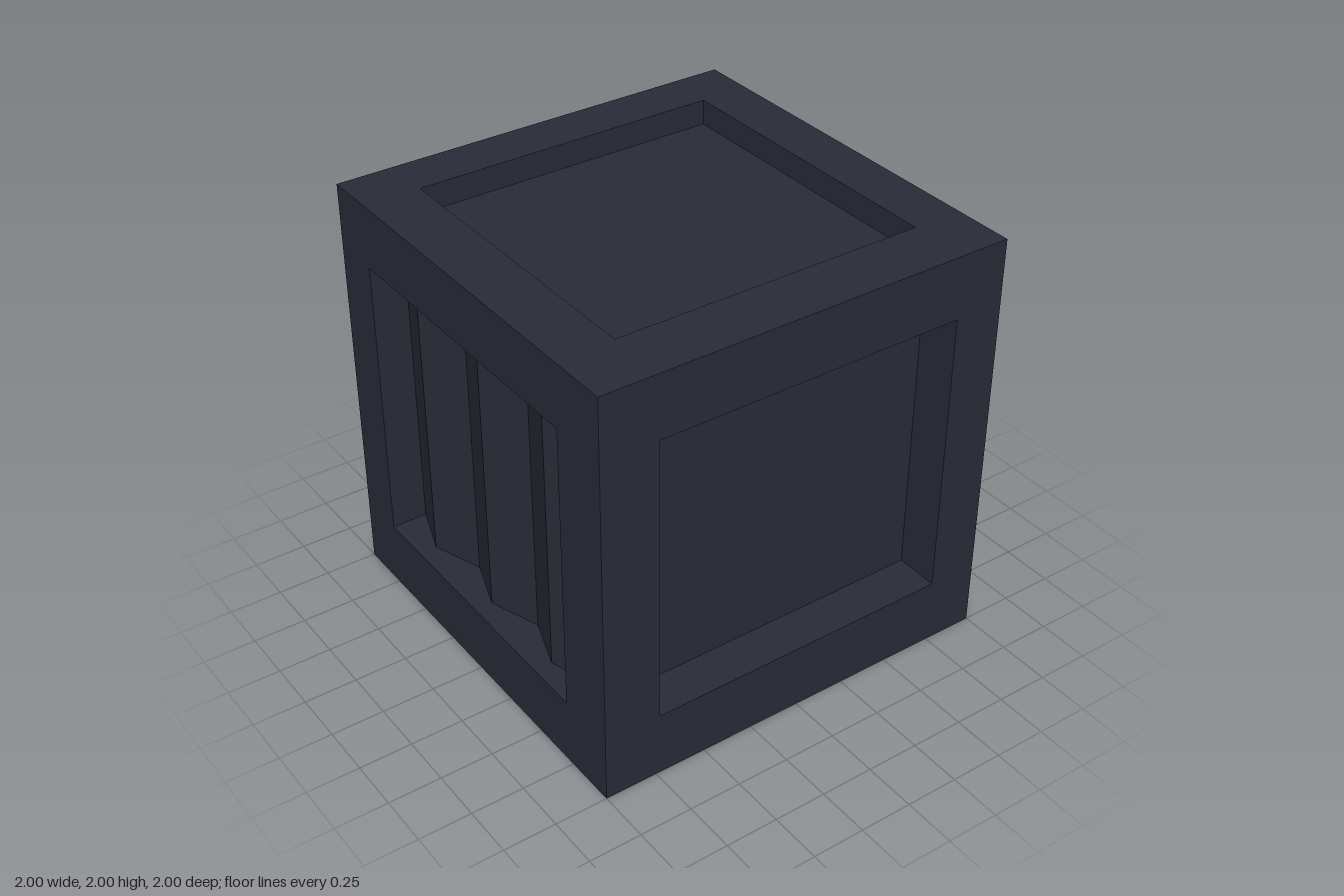
import * as THREE from 'three';

// Edges of the window openings, shared by opposite sides
const X = [-0.73, 0.76], Y = [0.315, 1.7], Z = [-0.76, 0.71];

const material = new THREE.MeshStandardMaterial({ color: 0x2a2b38, flatShading: true });

function add(group, name, geometry) {
  const mesh = new THREE.Mesh(geometry, material);
  mesh.name = name;
  group.add(mesh);
}

// Box given by its extent along each axis
function block([x0, x1], [y0, y1], [z0, z1]) {
  return new THREE.BoxGeometry(x1 - x0, y1 - y0, z1 - z0)
    .translate((x0 + x1) / 2, (y0 + y1) / 2, (z0 + z1) / 2);
}

const rectangle = ([x0, x1], [y0, y1]) => [[x0, y0], [x1, y0], [x1, y1], [x0, y1]]
  .map(([x, y]) => new THREE.Vector2(x, y));

// Square frame with a window, between two depths
function windowFrame([z0, z1]) {
  const shape = new THREE.Shape(rectangle([-1, 1], [0, 2]));
  shape.holes.push(new THREE.Path(rectangle(X, Y).reverse()));
  return new THREE.ExtrudeGeometry(shape, { depth: z1 - z0, bevelEnabled: false }).translate(0, 0, z0);
}

// Zigzag core whose two ends show as the corrugated side panels
function corrugatedCore() {
  const right = [], left = [];
  for (let i = 0; i <= 6; i++) {
    const z = Z[1] + (Z[0] - Z[1]) * i / 6;
    right.push(new THREE.Vector2(i % 2 ? 0.97 : 0.88, -z));
    left.unshift(new THREE.Vector2(i % 2 ? -0.915 : -0.83, -z));
  }
  return new THREE.ExtrudeGeometry(new THREE.Shape([...right, ...left]), { depth: Y[1] - Y[0], bevelEnabled: false })
    .rotateX(-Math.PI / 2).translate(0, Y[0], 0);
}

export function createModel() {
  const crate = new THREE.Group();
  crate.name = 'crate';

  // Outer frame: two window frames joined by four rails
  add(crate, 'frontFrame', windowFrame([Z[1], 1]));
  add(crate, 'backFrame', windowFrame([-1, Z[0]]));
  for (const [side, xs] of [['Left', [X[1], 1]], ['Right', [-1, X[0]]]]) {
    for (const [level, ys] of [['top', [Y[1], 2]], ['bottom', [0, Y[0]]]]) {
      add(crate, `${level}${side}Rail`, block(xs, ys, Z));
    }
  }

  // Recessed panels filling the openings
  add(crate, 'frontPanel', block(X, Y, [Z[1], 0.79]));
  add(crate, 'backPanel', block(X, Y, [-0.865, Z[0]]));
  add(crate, 'topPanel', block(X, [Y[1], 1.88], Z));
  add(crate, 'bottomPanel', block(X, [0.1, Y[0]], Z));
  add(crate, 'corrugatedSidePanels', corrugatedCore());

  return crate;
}
